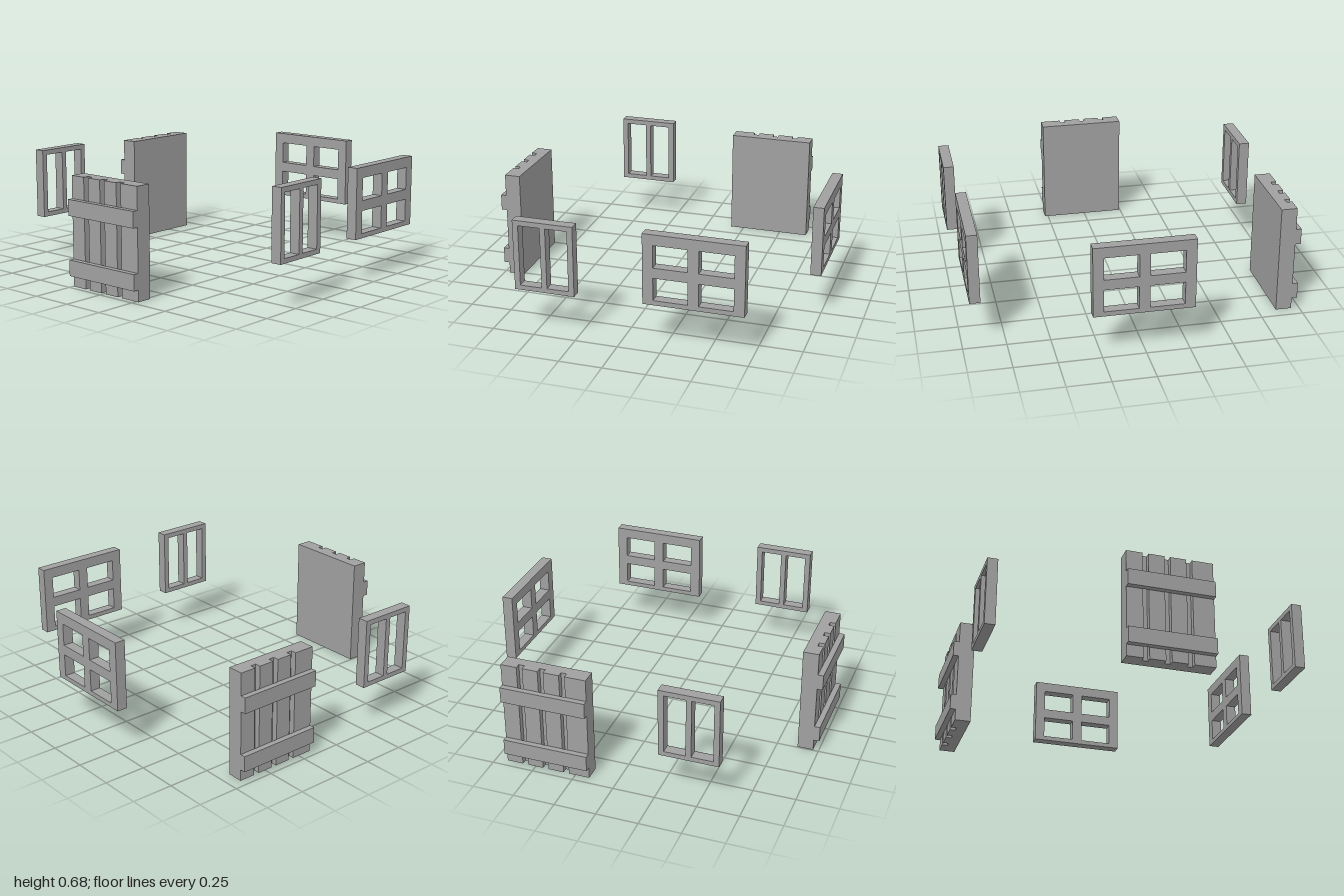
import * as THREE from 'three';

const grey = new THREE.MeshStandardMaterial({ color: 0xa0a0a0 });
grey.name = 'plain grey';

function mesh(geometry, name) {
  const m = new THREE.Mesh(geometry, grey);
  m.name = name;
  return m;
}

// Plank door: a slab with vertical grooves, bridged by two battens.
// Its outer face looks along +z, with the slab face at z = 0.
function makeDoor(name) {
  const half = 0.257, height = 0.65, back = 0.094, grooveDepth = 0.034, grooveHalf = 0.017;
  const door = new THREE.Group();
  door.name = name;

  // Horizontal cross-section, raised to the door's height
  const s = new THREE.Shape();
  s.moveTo(-half, back);
  s.lineTo(half, back);
  s.lineTo(half, 0);
  for (const x of [0.114, -0.015, -0.143]) {
    s.lineTo(x + grooveHalf, 0);
    s.lineTo(x + grooveHalf, grooveDepth);
    s.lineTo(x - grooveHalf, grooveDepth);
    s.lineTo(x - grooveHalf, 0);
  }
  s.lineTo(-half, 0);
  s.closePath();
  const planks = new THREE.ExtrudeGeometry(s, { depth: height, bevelEnabled: false });
  planks.rotateX(-Math.PI / 2);
  door.add(mesh(planks, 'planks'));

  for (const [y, label] of [[0.116, 'lowerBatten'], [0.469, 'upperBatten']]) {
    const batten = mesh(new THREE.BoxGeometry(half * 2, 0.095, 0.033), label);
    batten.position.set(0, y, 0.0165);
    door.add(batten);
  }
  return door;
}

// Window frame with mirrored pane openings, centred on x and z.
function makeWindow(name, half, inner, outer, rows) {
  const bottom = 0.261, top = 0.68, depth = 0.063;
  const rect = (path, x0, y0, x1, y1) => {
    path.moveTo(x0, y0);
    path.lineTo(x1, y0);
    path.lineTo(x1, y1);
    path.lineTo(x0, y1);
    path.closePath();
    return path;
  };
  const s = rect(new THREE.Shape(), -half, bottom, half, top);
  for (const [y0, y1] of rows) {
    s.holes.push(rect(new THREE.Path(), inner, y0, outer, y1));
    s.holes.push(rect(new THREE.Path(), -outer, y0, -inner, y1));
  }
  const g = new THREE.ExtrudeGeometry(s, { depth, bevelEnabled: false });
  g.translate(0, 0, -depth / 2);
  return mesh(g, name);
}

const makeWideWindow = (name) =>
  makeWindow(name, 0.289, 0.031, 0.228, [[0.289, 0.423], [0.484, 0.617]]);
const makeNarrowWindow = (name) =>
  makeWindow(name, 0.177, 0.016, 0.144, [[0.289, 0.65]]);

export function createModel() {
  const model = new THREE.Group();
  model.name = 'doorsAndWindows';
  const place = (part, x, z, turn) => {
    part.position.set(x, 0, z);
    part.rotation.y = turn;
    model.add(part);
  };
  const q = Math.PI / 2;

  // Doors
  place(makeDoor('frontDoor'), 0.013, 0.967, 0);
  place(makeDoor('rightDoor'), -0.952, -0.422, -q);

  // Four-pane windows
  place(makeWideWindow('backWindow'), 0.014, -0.968, 0);
  place(makeWideWindow('leftWideWindow'), 0.915, -0.421, q);

  // Two-pane windows
  place(makeNarrowWindow('rightNarrowWindow'), -0.92, 0.433, -q);
  place(makeNarrowWindow('leftNarrowWindow'), 0.948, 0.433, q);
  return model;
}
